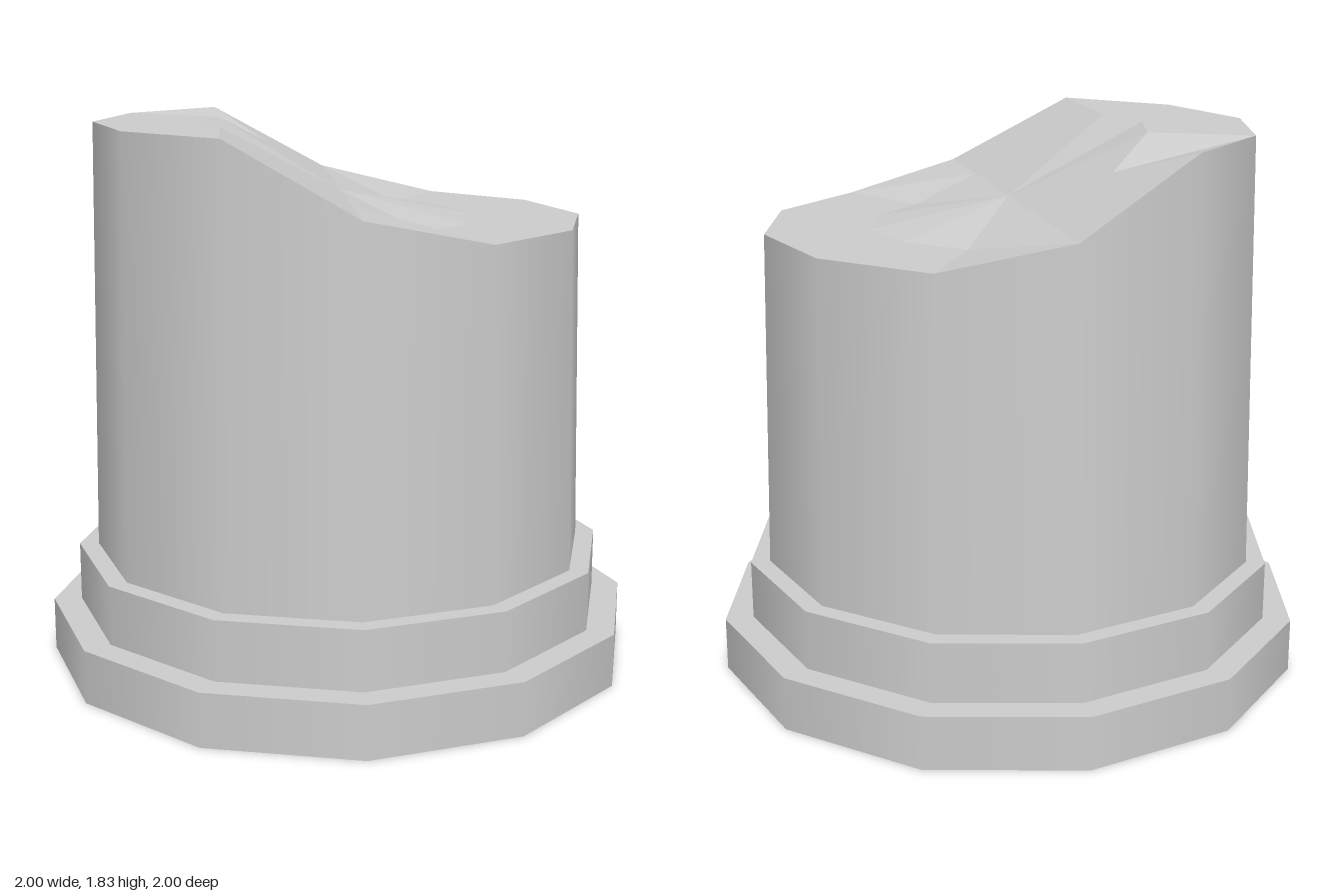
import * as THREE from 'three';

const SIDES = 12;
const RIM = 0.815;
const RING = 0.465;

// Height of the broken surface: high on one side, sloping to a low ledge
function breakHeight(x) {
  return x < 0 ? Math.min(1.83, 1.6 - x * 0.565) : Math.max(1.51, 1.6 - x * 0.4);
}

function breakPoint(radius, i) {
  const a = (i / SIDES) * Math.PI * 2;
  const x = radius * Math.cos(a);
  return [x, breakHeight(x), radius * Math.sin(a)];
}

export function createModel() {
  const group = new THREE.Group();
  const material = new THREE.MeshStandardMaterial({ color: 0xcccccc });
  const add = (name, geometry, mat = material) => {
    const mesh = new THREE.Mesh(geometry, mat);
    mesh.name = name;
    group.add(mesh);
    return mesh;
  };

  // Two stepped plinth slabs
  add('lowerPlinth', new THREE.CylinderGeometry(1, 1, 0.18, SIDES)).position.y = 0.09;
  add('upperPlinth', new THREE.CylinderGeometry(0.905, 0.905, 0.2, SIDES)).position.y = 0.28;

  // Tapered shaft whose upper rim follows the break
  const shaft = new THREE.CylinderGeometry(RIM, 0.84, 1, SIDES, 1, true);
  const p = shaft.attributes.position;
  for (let i = 0; i < p.count; i++) {
    p.setY(i, p.getY(i) > 0 ? breakHeight(p.getX(i)) : 0.38);
  }
  add('shaft', shaft);

  // Faceted broken top: centre fan plus an outer band
  const corners = [];
  const centre = [0, 1.6, 0];
  for (let i = 0; i < SIDES; i++) {
    const in0 = breakPoint(RING, i), in1 = breakPoint(RING, i + 1);
    const out0 = breakPoint(RIM, i), out1 = breakPoint(RIM, i + 1);
    corners.push(centre, in1, in0, in0, in1, out0, in1, out1, out0);
  }
  const top = new THREE.BufferGeometry();
  top.setAttribute('position', new THREE.Float32BufferAttribute(corners.flat(), 3));
  top.computeVertexNormals();
  add('brokenTop', top, new THREE.MeshStandardMaterial({ color: 0xcccccc, flatShading: true }));

  return group;
}
